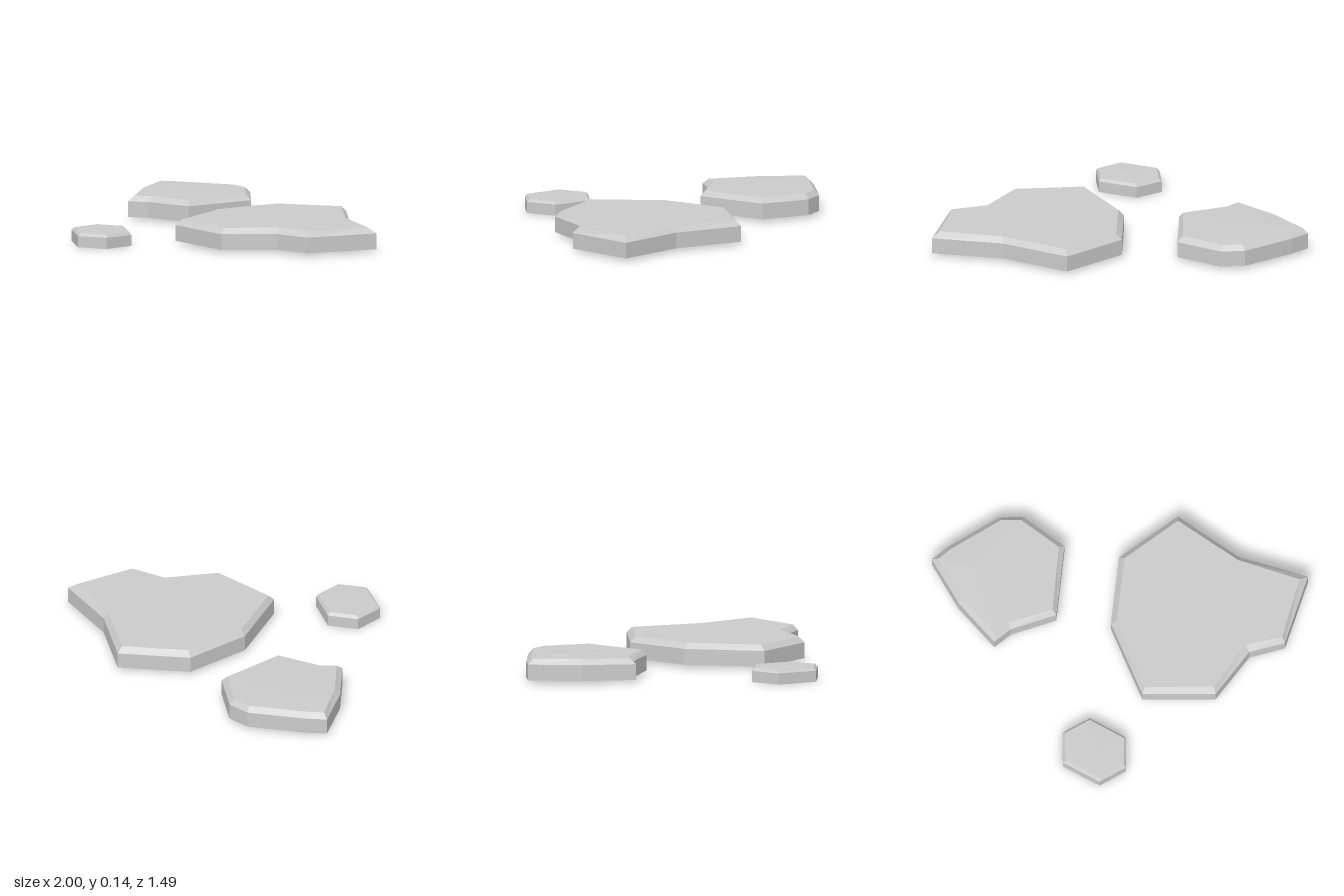
import * as THREE from 'three';

const material = new THREE.MeshStandardMaterial({ color: 0xcccccc, flatShading: true });

// Slab from three stacked rings: base, shoulder and inset top edge.
// Outlines are [x, z] pairs running clockwise seen from above; peak = optional [x, y, z] inside the top.
function slab(name, outer, inner, base, shoulder, top, peak) {
  const n = outer.length;
  const rings = [[outer, base], [outer, shoulder], [inner, top]];
  const points = rings.flatMap(([ring, y]) => ring.map(([x, z]) => [x, y, z]));
  const index = [];

  // Walls and bevel
  for (let r = 0; r < 2; r++) {
    for (let i = 0; i < n; i++) {
      const j = (i + 1) % n;
      const a = r * n + i, b = r * n + j;
      index.push(b, a, a + n, b, a + n, b + n);
    }
  }

  // Caps: the underside faces down, the top faces up
  const cap = (ring, offset, up) => {
    const flat = ring.map(([x, z]) => new THREE.Vector2(x, -z));
    for (const [a, b, c] of THREE.ShapeUtils.triangulateShape(flat, [])) {
      const ccw = THREE.ShapeUtils.area([flat[a], flat[b], flat[c]]) > 0;
      const tri = ccw === up ? [a, b, c] : [a, c, b];
      index.push(...tri.map((k) => k + offset));
    }
  };
  cap(outer, 0, false);
  if (peak) {
    points.push(peak);
    for (let i = 0; i < n; i++) index.push(3 * n, 2 * n + ((i + 1) % n), 2 * n + i);
  } else {
    cap(inner, 2 * n, true);
  }

  const indexed = new THREE.BufferGeometry();
  indexed.setAttribute('position', new THREE.Float32BufferAttribute(points.flat(), 3));
  indexed.setIndex(index);
  const geometry = indexed.toNonIndexed();
  geometry.computeVertexNormals();
  const mesh = new THREE.Mesh(geometry, material);
  mesh.name = name;
  return mesh;
}

export function createModel() {
  const group = new THREE.Group();
  group.name = 'steppingStones';

  // Large stone
  group.add(slab('largeStone',
    [[0.31, -0.745], [0.63, -0.515], [1, -0.4], [0.875, -0.025], [0.685, 0.025], [0.505, 0.26], [0.115, 0.26], [-0.05, -0.14], [-0.005, -0.515]],
    [[0.31, -0.71], [0.63, -0.485], [0.955, -0.375], [0.86, -0.05], [0.665, -0.005], [0.495, 0.23], [0.13, 0.23], [-0.02, -0.14], [0.025, -0.5]],
    0.015, 0.1, 0.13));

  // Medium stone
  group.add(slab('mediumStone',
    [[-0.64, -0.745], [-0.51, -0.745], [-0.295, -0.58], [-0.34, -0.19], [-0.585, -0.11], [-0.67, -0.04], [-0.86, -0.26], [-1, -0.51], [-0.905, -0.585]],
    [[-0.63, -0.72], [-0.525, -0.72], [-0.325, -0.565], [-0.36, -0.21], [-0.595, -0.14], [-0.665, -0.08], [-0.84, -0.28], [-0.97, -0.5], [-0.895, -0.56]],
    0.015, 0.1, 0.128, [-0.78, 0.135, -0.45]));

  // Small stone
  group.add(slab('smallStone',
    [[-0.165, 0.38], [0.025, 0.49], [0.025, 0.66], [-0.115, 0.74], [-0.31, 0.63], [-0.31, 0.46]],
    [[-0.165, 0.395], [0.015, 0.497], [0.015, 0.65], [-0.115, 0.725], [-0.295, 0.625], [-0.295, 0.467]],
    0, 0.06, 0.075, [-0.13, 0.078, 0.57]));

  return group;
}
